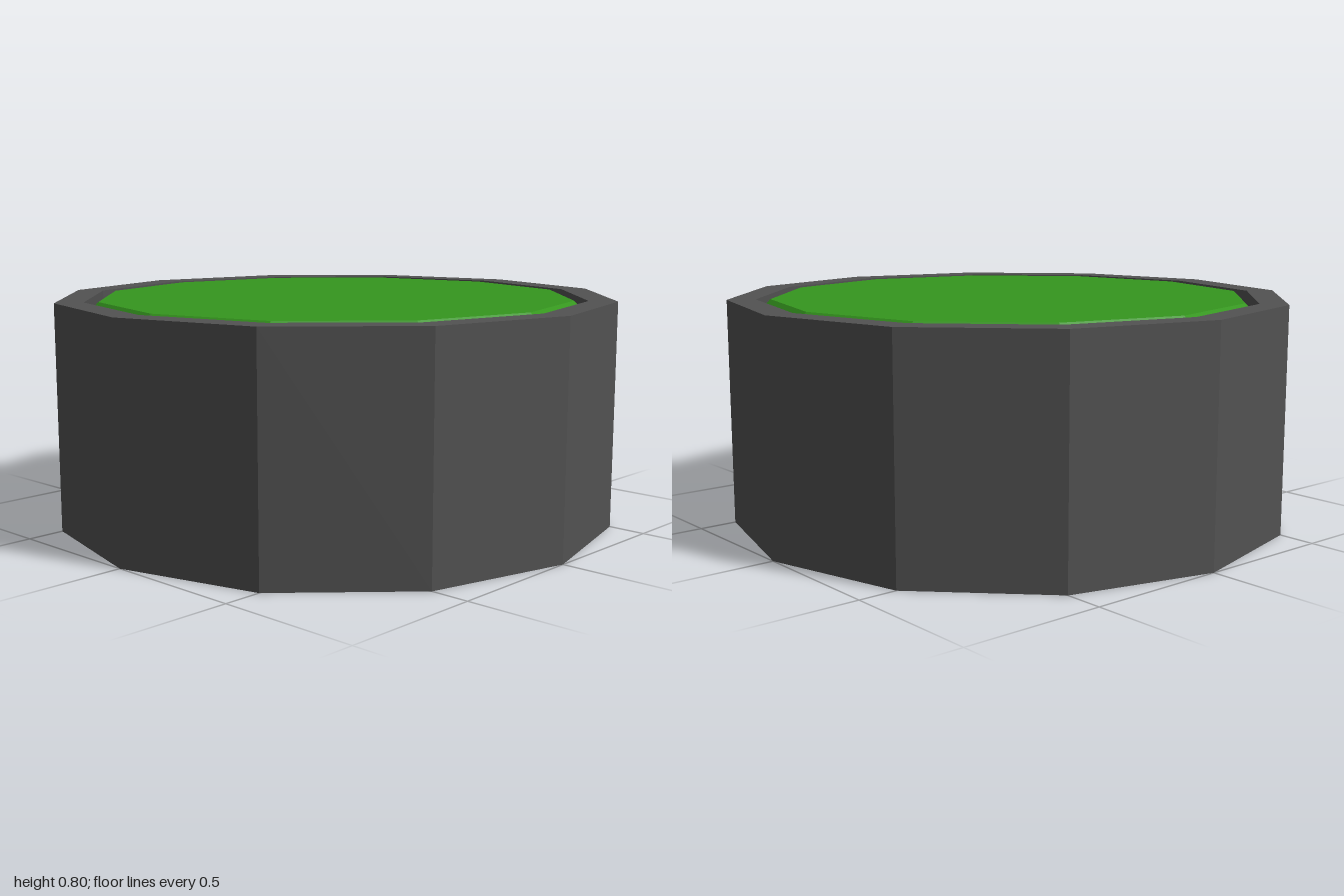
import * as THREE from 'three';

const SIDES = 12;

// Revolves a profile of [radius, height] pairs into a faceted shell
function facetedShell(name, color, profile) {
  const points = profile.map(([r, y]) => new THREE.Vector2(r, y));
  const material = new THREE.MeshStandardMaterial({
    color, flatShading: true, side: THREE.DoubleSide,
  });
  const mesh = new THREE.Mesh(new THREE.LatheGeometry(points, SIDES), material);
  mesh.name = name;
  return mesh;
}

export function createModel() {
  const group = new THREE.Group();
  group.name = 'roundPlanter';

  // Open-bottomed casing: outer wall, flat rim, shorter inner wall
  group.add(facetedShell('casing', 0x525252, [[1, 0], [1, 0.8], [0.9, 0.8], [0.9, 0.2]]));

  // Green cap: bevelled edge and flat top, level with the rim
  group.add(facetedShell('cap', 0x35961e, [[0.9, 0.75], [0.85, 0.8], [0, 0.8]]));

  return group;
}
